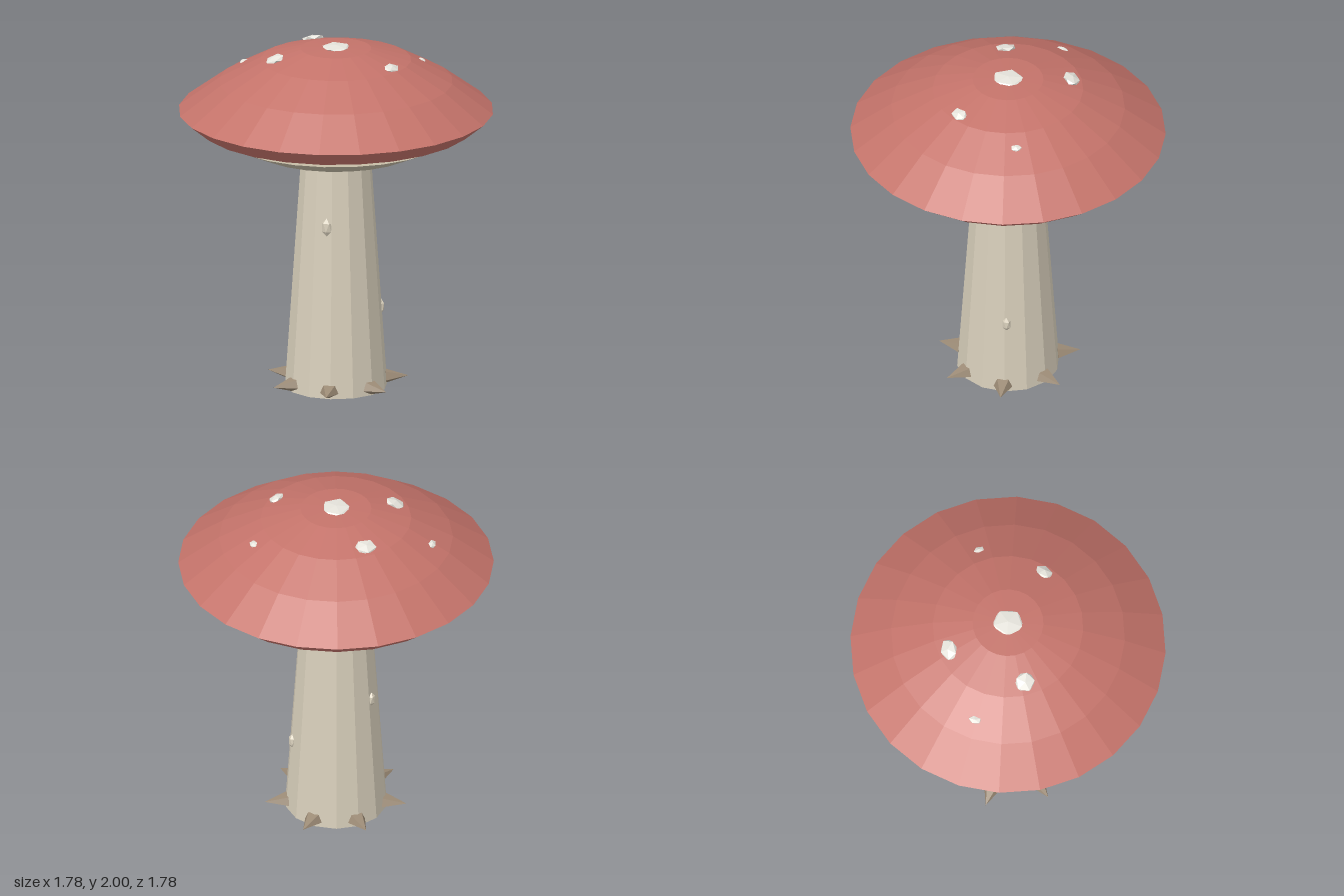
import * as THREE from 'three';

const mat = (color) => new THREE.MeshStandardMaterial({ color, flatShading: true });

export function createModel() {
  const root = new THREE.Group();
  root.name = 'mushroom';
  const capMat = mat(0xc4736a), stemMat = mat(0xd8cfbb), gillMat = mat(0xc6bca6);
  const spotMat = mat(0xe6e4dc), pebbleMat = mat(0x9c8b76);

  const add = (name, geometry, material) => {
    const mesh = new THREE.Mesh(geometry, material);
    mesh.name = name;
    root.add(mesh);
    return mesh;
  };

  // Tapered 14-sided stem
  const stemRadius = (y) => 0.29 - 0.068 * y;
  add('stem', new THREE.CylinderGeometry(stemRadius(1.42), 0.29, 1.42, 14), stemMat).position.y = 0.71;

  // Gill disc, wider at the top
  add('gills', new THREE.CylinderGeometry(0.65, 0.465, 0.083, 24), gillMat).position.y = 1.435;

  // Cap with a sharp rim and a shallow underside
  const profile = [[0, 1.472], [0.52, 1.472], [0.78, 1.53], [0.89, 1.62], [0.66, 1.79],
    [0.425, 1.917], [0.2, 1.982], [0, 1.992]].map(([r, y]) => new THREE.Vector2(r, y));
  add('cap', new THREE.LatheGeometry(profile, 24), capMat);

  // Icosahedron with one corner pointing up, so it reads as a pentagon from above
  const chip = new THREE.IcosahedronGeometry(1, 0);
  chip.rotateX(Math.atan2(1.618, 1)).rotateX(-Math.PI);
  chip.computeBoundingBox();
  if (chip.boundingBox.max.y < 0.99) {
    chip.copy(new THREE.IcosahedronGeometry(1, 0).rotateX(-Math.atan2(1.618, 1)));
  }

  // Pale spots on the cap: x, y, z, half sizes, tilt as a share of the slope, turn
  const spots = [
    [0, 1.988, 0, 0.095, 0.014, 0.085, 0, Math.PI / 2],
    [-0.165, 1.937, -0.325, 0.068, 0.02, 0.052, 0.7, 0.3],
    [-0.335, 1.939, 0.115, 0.06, 0.02, 0.062, 0.7, 0.9],
    [0.335, 1.928, 0.185, 0.042, 0.02, 0.056, 0.7, -0.6],
    [0.465, 1.868, -0.19, 0.026, 0.015, 0.035, 0.5, 0.4],
    [-0.54, 1.838, -0.155, 0.024, 0.017, 0.04, 0.5, -0.2],
  ];
  for (const [x, y, z, sx, sy, sz, tilt, turn] of spots) {
    const spot = add('capSpot', chip, spotMat);
    const r = Math.hypot(x, z);
    const normal = new THREE.Vector3(x * tilt * 1.2, Math.max(r, 0.01) * 2, z * tilt * 1.2).normalize();
    spot.position.set(x, y, z);
    spot.scale.set(sx, sy, sz);
    spot.quaternion.setFromUnitVectors(new THREE.Vector3(0, 1, 0), normal);
    spot.rotateY(turn);
  }

  // Small bumps on the stem: x, z direction, height, half width, half height
  const bumps = [[-0.03, 0.225, 0.99, 0.032, 0.054], [0.26, -0.07, 0.45, 0.026, 0.045],
    [-0.2, -0.125, 0.77, 0.026, 0.045]];
  for (const [x, z, y, w, h] of bumps) {
    const bump = add('stemBump', chip, stemMat);
    const angle = Math.atan2(x, z), r = stemRadius(y) - 0.002;
    bump.position.set(r * Math.sin(angle), y, r * Math.cos(angle));
    bump.rotation.y = angle;
    bump.scale.set(w, h, 0.02);
  }

  // Ring of seven pointed stubs around the foot
  const stubGeo = new THREE.ConeGeometry(0.055, 0.13, 5);
  stubGeo.rotateX(Math.PI / 2);
  stubGeo.scale(1, 0.75, 1);
  for (let i = 0; i < 7; i++) {
    const angle = (i / 7) * Math.PI * 2 - 0.03;
    const stub = add('footStub', stubGeo, pebbleMat);
    stub.position.set(0.345 * Math.sin(angle), 0.044, 0.345 * Math.cos(angle));
    stub.rotation.y = angle;
  }

  return root;
}
